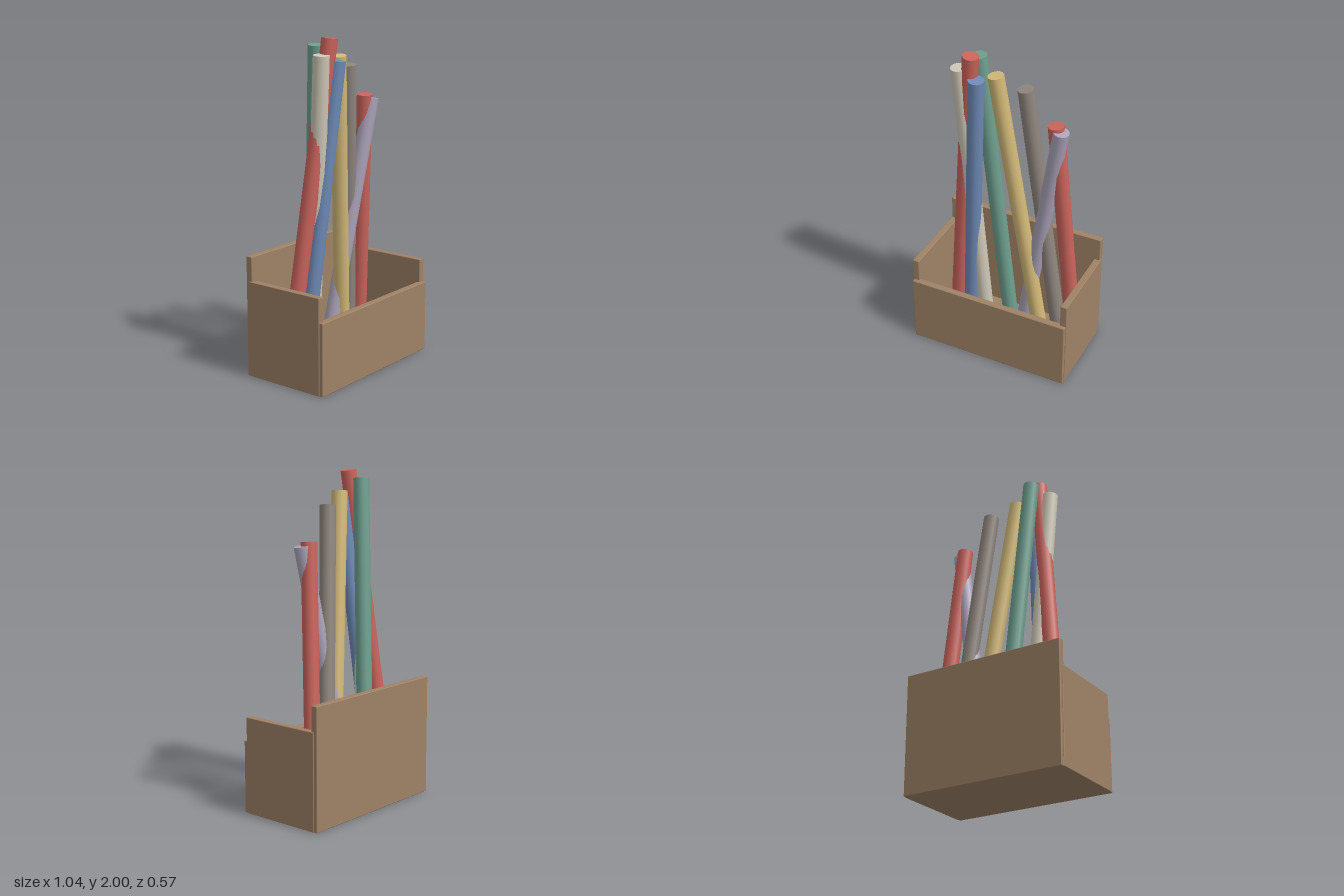
import * as THREE from 'three';
import { RoundedBoxGeometry } from 'three/addons/geometries/RoundedBoxGeometry.js';

const flat = (name, color) => {
  const m = new THREE.MeshStandardMaterial({ color });
  m.name = name;
  return m;
};

export function createModel() {
  const model = new THREE.Group();
  model.name = 'stickHolder';

  const wood = flat('wood', 0x9f8266);
  const red = flat('red', 0xcb645c);
  const cream = flat('cream', 0xcfc9b7);
  const blue = flat('blue', 0x6f8bb8);
  const green = flat('green', 0x6fa08f);
  const yellow = flat('yellow', 0xd4ba79);
  const grey = flat('grey', 0x90867f);
  const lavender = flat('lavender', 0xaba3b9);

  // Open box: a board is given by its size, x, z and base height
  const box = new THREE.Group();
  box.name = 'box';
  model.add(box);
  const board = (name, w, h, d, x, z) => {
    const mesh = new THREE.Mesh(new RoundedBoxGeometry(w, h, d, 2, 0.005), wood);
    mesh.name = name;
    mesh.position.set(x, h / 2, z);
    box.add(mesh);
  };
  board('frontPanel', 1.026, 0.44, 0.042, 0, 0.262);
  board('backPanel', 1.026, 0.735, 0.042, 0, -0.265);
  board('leftPanel', 0.042, 0.585, 0.524, 0.497, -0.002);
  board('rightPanel', 0.042, 0.585, 0.524, -0.497, -0.002);
  board('floor', 0.99, 0.03, 0.51, 0, 0);

  // Leaning sticks: foot x, z and centre of the top end
  const sticks = new THREE.Group();
  sticks.name = 'sticks';
  model.add(sticks);
  const up = new THREE.Vector3(0, 1, 0);
  const stick = (name, material, footX, footZ, x, y, z) => {
    const foot = new THREE.Vector3(footX, 0.025, footZ);
    const top = new THREE.Vector3(x, y, z);
    const axis = top.clone().sub(foot);
    const mesh = new THREE.Mesh(new THREE.CylinderGeometry(0.048, 0.048, axis.length(), 12), material);
    mesh.name = name;
    mesh.position.copy(foot).lerp(top, 0.5);
    mesh.quaternion.setFromUnitVectors(up, axis.normalize());
    sticks.add(mesh);
  };
  stick('tallRedStick', red, -0.392, -0.08, -0.185, 1.993, 0.077);
  stick('creamStick', cream, -0.18, -0.07, -0.262, 1.903, 0.078);
  stick('blueStick', blue, -0.28, -0.05, -0.142, 1.863, 0.1);
  stick('greenStick', green, -0.06, -0.17, -0.185, 1.95, -0.022);
  stick('yellowStick', yellow, 0.176, -0.115, -0.053, 1.88, 0.033);
  stick('greyStick', grey, 0.289, -0.157, 0.108, 1.81, -0.017);
  stick('lavenderStick', lavender, 0.052, -0.14, 0.33, 1.59, -0.015);
  stick('shortRedStick', red, 0.395, -0.155, 0.29, 1.612, -0.033);

  return model;
}
